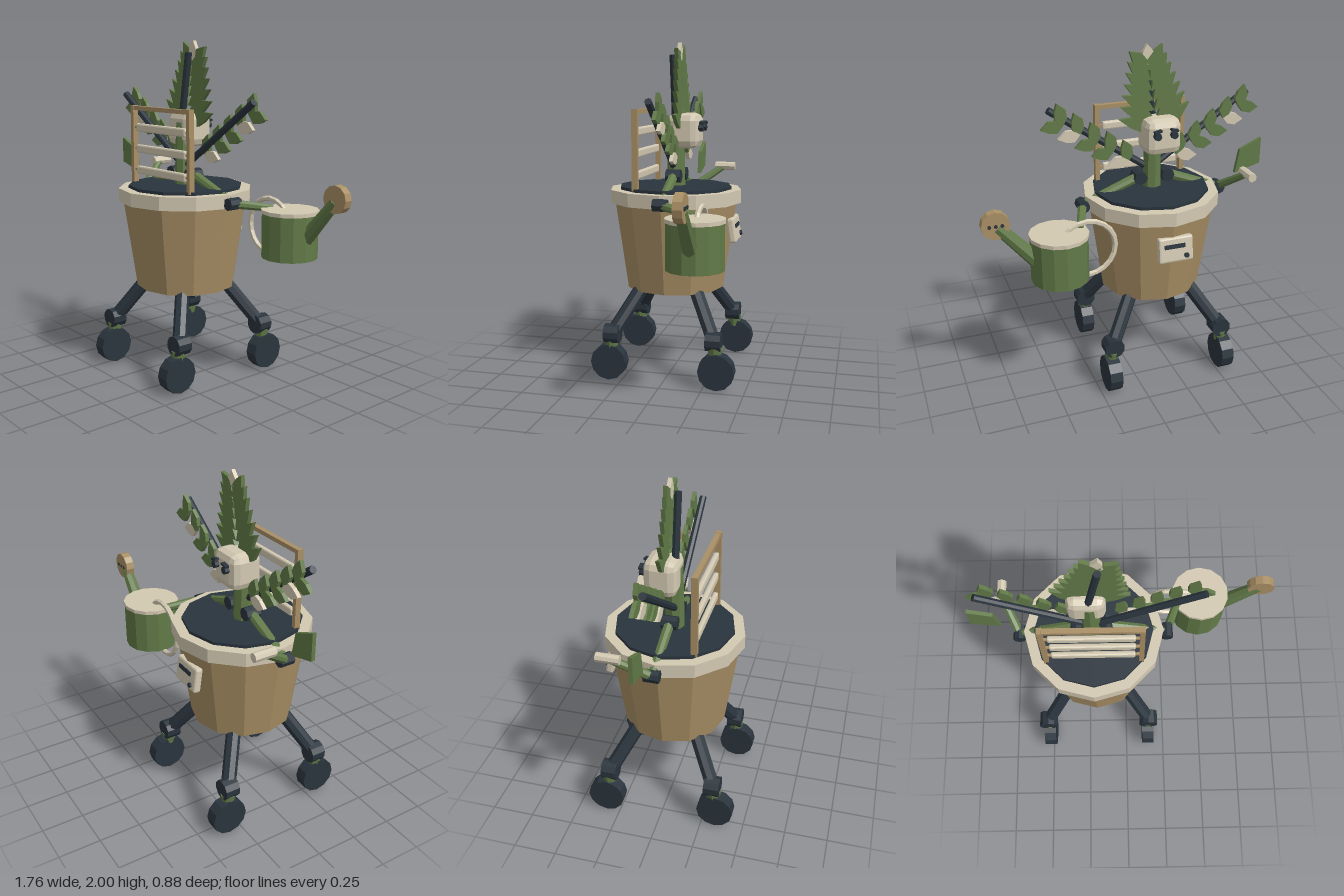
import * as THREE from 'three';
import { RoundedBoxGeometry } from 'three/addons/geometries/RoundedBoxGeometry.js';

const mat = (color) => new THREE.MeshStandardMaterial({ color, flatShading: true });
const TAN = mat(0xa98f65), CREAM = mat(0xd3c9b2), GREEN = mat(0x627a48), DARK = mat(0x2a343d);
const CX = -0.185; // pot axis

export function createModel() {
  const root = new THREE.Group();

  const add = (name, geo, material, x = 0, y = 0, z = 0, parent = root) => {
    const m = new THREE.Mesh(geo, material);
    m.name = name;
    m.position.set(x, y, z);
    parent.add(m);
    return m;
  };
  const cyl = (name, rTop, rBot, h, sides, material, x, y, z, axis = 'y') => {
    const m = add(name, new THREE.CylinderGeometry(rTop, rBot, h, sides), material, x, y, z);
    if (axis === 'x') m.rotation.z = Math.PI / 2;
    if (axis === 'z') m.rotation.x = Math.PI / 2;
    return m;
  };
  const box = (name, w, h, d, material, x, y, z, parent) =>
    add(name, new THREE.BoxGeometry(w, h, d), material, x, y, z, parent);
  // straight rod from a to b
  const rod = (name, a, b, rA, rB, material, sides = 8) => {
    const p = new THREE.Vector3(...a), q = new THREE.Vector3(...b);
    const d = q.clone().sub(p);
    const m = add(name, new THREE.CylinderGeometry(rB, rA, d.length(), sides), material);
    m.position.copy(p).add(q).multiplyScalar(0.5);
    m.quaternion.setFromUnitVectors(new THREE.Vector3(0, 1, 0), d.normalize());
    return m;
  };
  // thin slab from an outline in the xy plane
  const slab = (name, pts, depth, material, x, y, z) => {
    const shape = new THREE.Shape(pts.map((p) => new THREE.Vector2(...p)));
    const geo = new THREE.ExtrudeGeometry(shape, { depth, bevelEnabled: false });
    return add(name, geo.translate(0, 0, -depth / 2), material, x, y, z);
  };
  // leaf growing from (x, y); angle is measured from straight up, positive toward +x
  const leaf = (x, y, length, width, angle, material = GREEN) => {
    const w = width / 2;
    const m = slab('leaf', [[0, 0], [w, length * 0.3], [w * 0.75, length * 0.65], [0, length],
      [-w, length * 0.62], [-w * 0.85, length * 0.25]], 0.023, material, x, y, -0.035);
    m.rotation.z = -angle;
  };

  // Pot, rim and soil
  cyl('pot', 0.378, 0.3, 0.535, 12, TAN, CX, 0.7925, 0);
  const rim = [[0.345, 1.05], [0.405, 1.05], [0.405, 1.13], [0.345, 1.13], [0.345, 1.05]];
  add('rim', new THREE.LatheGeometry(rim.map((p) => new THREE.Vector2(...p)), 12), CREAM, CX);
  cyl('soil', 0.345, 0.345, 0.09, 12, DARK, CX, 1.103, 0);

  // Legs with ankle joints and wheels
  for (const sx of [-1, 1]) {
    for (const sz of [-1, 1]) {
      const jx = CX + sx * (sz > 0 ? 0.33 : 0.345), jz = sz * 0.31;
      const wx = CX + sx * (sz > 0 ? 0.328 : 0.361);
      rod('leg', [CX + sx * 0.165, 0.56, sz * 0.155], [jx, 0.28, jz], 0.043, 0.043, DARK);
      cyl('ankle', 0.06, 0.06, 0.09, 10, DARK, jx, 0.28, jz, 'z');
      cyl('fork', 0.045, 0.035, 0.07, 8, GREEN, (jx + wx) / 2, 0.215, sz * 0.318);
      cyl('wheel', 0.108, 0.108, 0.076, 12, DARK, wx, 0.108, sz * 0.33, 'x').rotation.x = 0;
    }
  }

  // Trunk and head, the face looking to the back
  cyl('trunk', 0.05, 0.058, 0.38, 8, GREEN, -0.195, 1.33, 0);
  add('head', new RoundedBoxGeometry(0.215, 0.21, 0.19, 1, 0.045), CREAM, -0.215, 1.48, -0.055);
  for (const s of [-1, 1]) {
    const ex = -0.213 + s * 0.05;
    cyl('eye', 0.022, 0.022, 0.03, 8, DARK, ex, 1.5, -0.16, 'z');
    box('brow', 0.045, 0.012, 0.025, DARK, ex, 1.53, -0.165).rotation.z = -s * 0.2;
  }

  // Arms
  for (const s of [-1, 1]) {
    const elbow = s < 0 ? [-0.62, 1.08, -0.01] : [0.24, 1.08, -0.01];
    const hand = s < 0 ? [-0.715, 1.215, -0.2] : [0.325, 1.04, -0.24];
    const shoulder = [-0.195 + s * 0.085, 1.21, -0.005];
    cyl('shoulder', 0.04, 0.04, 0.09, 8, DARK, ...shoulder, 'z');
    rod('upperArm', shoulder, elbow, 0.03, 0.026, GREEN);
    cyl('elbow', 0.036, 0.036, 0.085, 8, DARK, ...elbow, 'z');
    rod('forearm', elbow, hand, 0.028, 0.022, GREEN);
  }
  cyl('hand', 0.027, 0.027, 0.13, 8, CREAM, -0.715, 1.22, -0.215, 'z');
  slab('heldLeaf', [[-0.885, 1.37], [-0.885, 1.21], [-0.72, 1.165], [-0.747, 1.31]], 0.023, GREEN, 0, 0, -0.035);

  // Tall middle frond
  const foot = [-0.205, 1.5], top = [-0.14, 1.93];
  rod('stalk', [-0.2, 1.56, 0.008], [...top, 0.008], 0.021, 0.021, DARK);
  for (let i = 0; i < 7; i++) {
    const t = i / 6 * 0.82, x = foot[0] + (top[0] - foot[0]) * t, y = foot[1] + (top[1] - foot[1]) * t;
    for (const s of [-1, 1])
      leaf(x, y, 0.245 - 0.085 * i / 6, 0.078, 0.15 + s * (1.08 - 0.42 * i / 6));
  }
  leaf(-0.147, 1.88, 0.12, 0.07, 0.08, CREAM);

  // Side fronds
  for (const s of [-1, 1]) {
    const ax = 0.84, ay = 0.55;
    rod('stalk', [CX + s * 0.03, 1.27, 0.008], [CX + s * 0.607, 1.665, 0.008], 0.021, 0.021, DARK);
    for (let i = 0; i < 5; i++) {
      const d = 0.08 + i * 0.115;
      const x = CX + s * (0.08 + ax * d), y = 1.29 + ay * d;
      leaf(x, y, 0.13, 0.075, s * 0.27);
      leaf(x, y, 0.13, 0.075, s * 1.7, i === 3 || i === 0 ? CREAM : GREEN);
    }
  }

  // Trellis
  for (const x of [-0.455, 0.087]) box('trellisPost', 0.027, 0.48, 0.036, TAN, x, 1.375, 0.18);
  box('trellisTop', 0.54, 0.025, 0.03, TAN, CX, 1.6, 0.18);
  for (const y of [1.225, 1.355, 1.483]) {
    add('trellisSlat', new RoundedBoxGeometry(0.475, 0.05, 0.03, 1, 0.01), CREAM, CX, y, 0.18);
    box('slatPin', 0.53, 0.014, 0.014, TAN, CX, y, 0.18);
  }

  // Watering can
  const wx = 0.452, wz = -0.258;
  cyl('canBody', 0.163, 0.163, 0.26, 14, GREEN, wx, 0.9, wz);
  cyl('canLid', 0.168, 0.168, 0.022, 14, CREAM, wx, 1.04, wz);
  add('canHandle', new THREE.TorusGeometry(0.166, 0.016, 6, 20), CREAM, 0.29, 0.925, wz);
  rod('spout', [0.57, 0.89, wz], [0.79, 1.14, wz], 0.046, 0.034, GREEN);
  cyl('rose', 0.079, 0.079, 0.05, 12, TAN, 0.8, 1.155, wz, 'z');
  for (const dx of [-0.035, 0, 0.035]) cyl('roseHole', 0.011, 0.011, 0.01, 6, DARK, 0.8 + dx, 1.155, wz - 0.025, 'z');

  // Panel with slot and knob on the back of the pot
  const panel = new THREE.Group();
  panel.name = 'panel';
  panel.position.set(-0.2, 0.89, -0.362);
  panel.rotation.x = 0.145;
  root.add(panel);
  add('panelPlate', new RoundedBoxGeometry(0.21, 0.15, 0.045, 1, 0.012), CREAM, 0, 0, 0, panel);
  box('panelSlot', 0.125, 0.025, 0.012, DARK, 0.01, 0.022, -0.022, panel);
  const knob = add('panelKnob', new THREE.CylinderGeometry(0.015, 0.015, 0.02, 8), DARK, -0.06, -0.04, -0.024, panel);
  knob.rotation.x = Math.PI / 2;

  return root;
}
